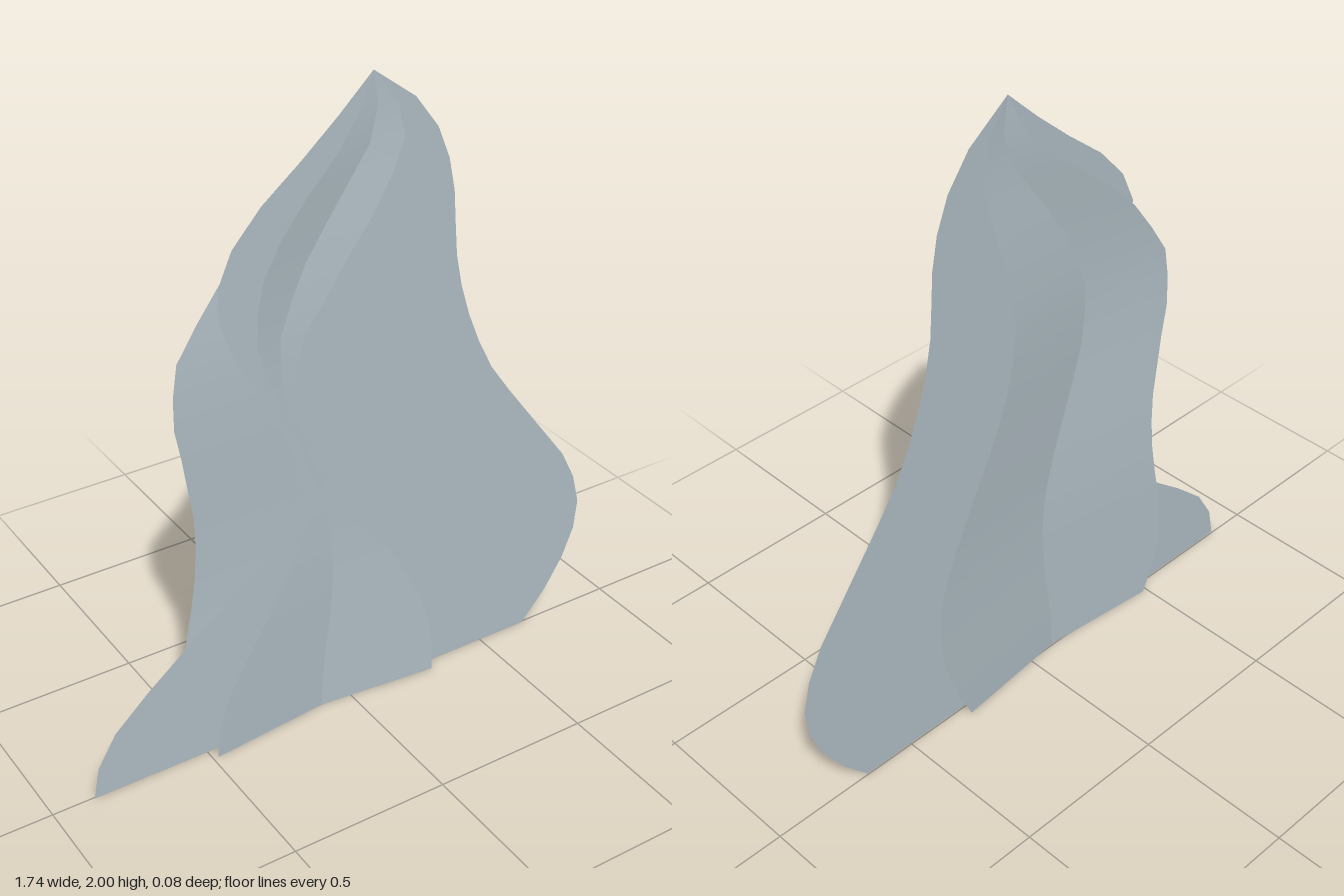
import * as THREE from 'three';

// Outline sampled every 0.1 in height: left edge, spine and right edge
const LEFT = [-0.87, -0.85, -0.79, -0.68, -0.555, -0.425, -0.295, -0.21, -0.17, -0.18, -0.21,
  -0.25, -0.315, -0.37, -0.405, -0.405, -0.36, -0.27, -0.145, -0.03, 0.075];
const SPINE = [-0.1, -0.095, -0.085, -0.07, -0.06, -0.055, -0.062, -0.083, -0.11, -0.145, -0.178,
  -0.207, -0.22, -0.22, -0.185, -0.14, -0.075, -0.005, 0.065, 0.09, 0.075];
const RIGHT = [0.67, 0.757, 0.82, 0.86, 0.87, 0.845, 0.795, 0.72, 0.645, 0.57, 0.5,
  0.45, 0.41, 0.38, 0.36, 0.352, 0.345, 0.325, 0.285, 0.21, 0.075];
const ROWS = LEFT.length - 1;
const FLATTEN = 0.057; // depth squash of the crossed sheets
const Z_SHIFT = 0.004;

// One wavy sheet, turned about the spine by the given angle
function sheet(angle, material) {
  const geo = new THREE.PlaneGeometry(1, 1, 2, ROWS);
  const pos = geo.attributes.position;
  const c = Math.cos(angle), s = Math.sin(angle);
  for (let i = 0; i < pos.count; i++) {
    const row = ROWS - Math.floor(i / 3);
    const col = c < 0 ? 2 - (i % 3) : i % 3; // keep the front facing +z
    const offset = [LEFT, SPINE, RIGHT][col][row] - SPINE[row];
    pos.setXYZ(i, SPINE[row] + offset * c, row * 2 / ROWS, Z_SHIFT - offset * s * FLATTEN);
  }
  geo.computeVertexNormals();
  return new THREE.Mesh(geo, material);
}

export function createModel() {
  const group = new THREE.Group();
  group.name = 'wisp';
  const mist = new THREE.MeshStandardMaterial({ color: 0xb0bec5, side: THREE.DoubleSide });
  mist.name = 'pale blue grey';

  // Three sheets crossing along the spine
  ['mainSheet', 'leftTurnedSheet', 'rightTurnedSheet'].forEach((name, k) => {
    const mesh = sheet(k * Math.PI / 3, mist);
    mesh.name = name;
    group.add(mesh);
  });
  return group;
}
